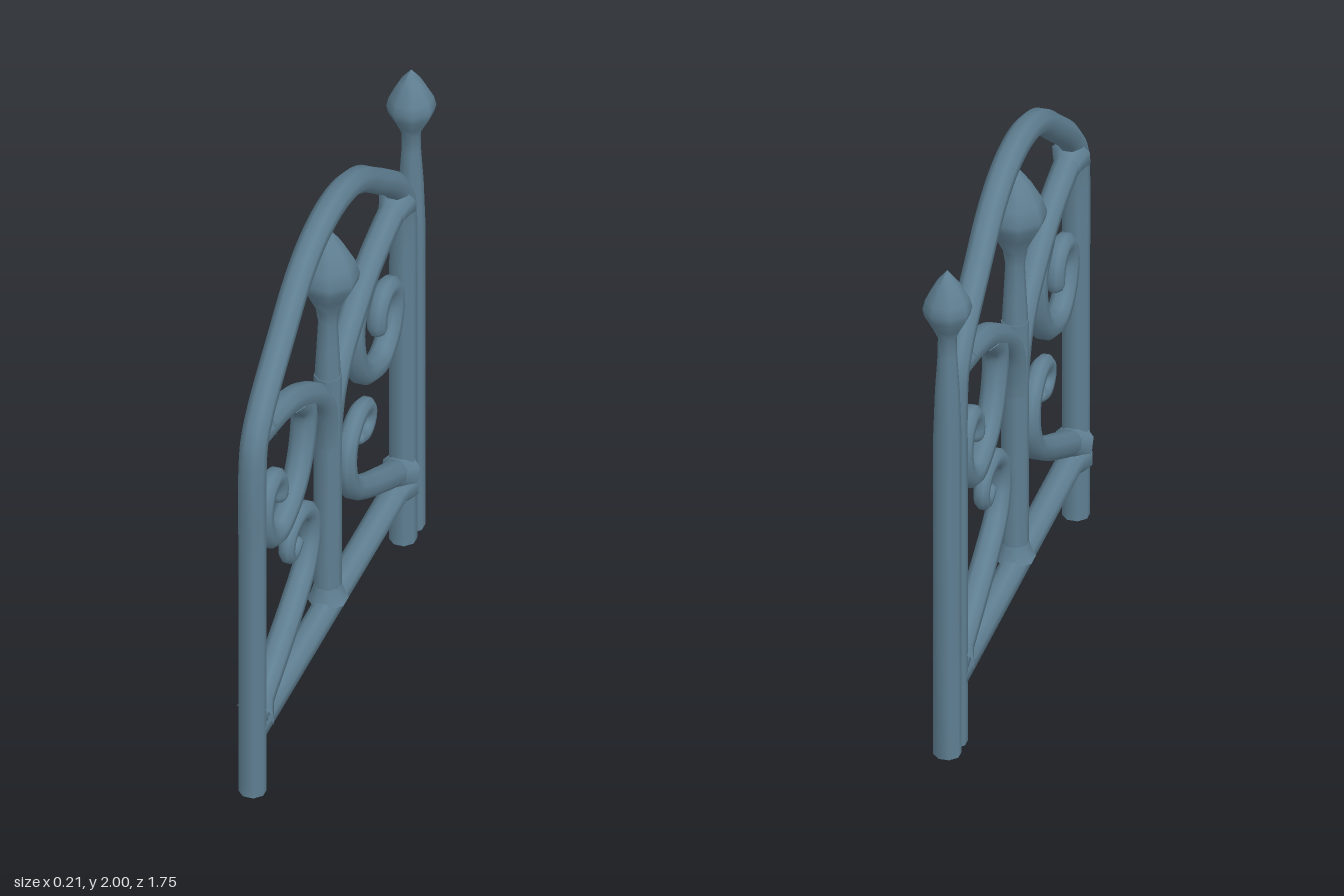
import * as THREE from 'three';
import { toCreasedNormals } from 'three/addons/utils/BufferGeometryUtils.js';

const SIDES = 8;
const MID = 0.06; // z of the gate's centre line
const R = 0.049;
const iron = new THREE.MeshStandardMaterial({ color: 0x5f7f92, roughness: 0.7 });

// Sweeps an octagonal bar along [d, y] points, d being the distance from the
// centre line; the radius tapers from r0 to r1, and ends can be rounded.
function bar(points, { side = 1, r0 = R, r1 = r0, steps = 40, roundEnd = false } = {}) {
  const curve = new THREE.CatmullRomCurve3(
    points.map(([d, y]) => new THREE.Vector3(0, y, MID + side * d)));
  const rows = [];
  const ts = curve.getSpacedPoints(steps);
  ts.forEach((p, i) => rows.push({
    p, t: curve.getTangentAt(i / steps), r: THREE.MathUtils.lerp(r0, r1, (i / steps) ** 2),
  }));
  const first = rows[0], last = rows[rows.length - 1];
  if (roundEnd) {
    for (const a of [0.5, 1, 1.3]) {
      rows.push({
        p: last.p.clone().addScaledVector(last.t, Math.sin(a) * r1 * 0.8),
        t: last.t, r: r1 * Math.cos(a),
      });
    }
  }
  rows.unshift({ ...first, r: 0 });
  rows.push({ ...rows[rows.length - 1], r: 0 });

  const pos = [], index = [];
  rows.forEach(({ p, t, r }, i) => {
    for (let j = 0; j < SIDES; j++) {
      const a = ((j + 0.5) / SIDES) * Math.PI * 2;
      const n = Math.sin(a) * r;
      pos.push(Math.cos(a) * r, p.y + t.z * n, p.z - t.y * n);
      if (i === rows.length - 1) continue;
      const k = (j + 1) % SIDES, b = i * SIDES, c = b + SIDES;
      index.push(b + j, b + k, c + k, b + j, c + k, c + j);
    }
  });
  const geo = new THREE.BufferGeometry();
  geo.setAttribute('position', new THREE.Float32BufferAttribute(pos, 3));
  geo.setIndex(index);
  return toCreasedNormals(geo, 1);
}

// Octagonal turned shape from [radius, y] points, listed bottom to top
function turned(profile) {
  const geo = new THREE.LatheGeometry(profile.map(([r, y]) => new THREE.Vector2(r, y)), SIDES);
  geo.rotateY(Math.PI / SIDES);
  return toCreasedNormals(geo, 1);
}

export function createModel() {
  const gate = new THREE.Group();
  gate.name = 'gardenGate';
  const add = (name, geo, z = 0, y = 0) => {
    const mesh = new THREE.Mesh(geo, iron);
    mesh.name = name;
    mesh.position.set(0, y, z);
    gate.add(mesh);
    return mesh;
  };

  // Arched outer frame: one bar up, over and down
  const half = [[0.77, 0], [0.77, 0.5], [0.77, 1.0], [0.77, 1.38], [0.75, 1.49],
    [0.68, 1.585], [0.475, 1.75], [0.32, 1.865], [0.17, 1.93]];
  const arch = [...half, [0, 1.953], ...half.map(([d, y]) => [-d, y]).reverse()];
  add('archedFrame', bar(arch, { steps: 120 }));

  // Bottom rail and central upright
  add('bottomRail', bar([[-0.77, 0.257], [0.77, 0.257]], { steps: 2 }));
  add('centreUpright', bar([[0, 0.257], [0, 1.25]], { steps: 2 }));

  // Central spear
  add('centreSpear', turned([[0.05, 1.12], [0.046, 1.25], [0.04, 1.36], [0.034, 1.48],
    [0.042, 1.535], [0.075, 1.6], [0.106, 1.655], [0.112, 1.685], [0.095, 1.74],
    [0.055, 1.81], [0.02, 1.855], [0, 1.878]]), MID);

  // Hinge post with its finial
  add('hingePost', turned([[0, 0], [0.049, 0], [0.049, 0.5], [0.049, 1.3], [0.043, 1.48],
    [0.034, 1.62], [0.033, 1.69], [0.052, 1.73], [0.08, 1.78], [0.087, 1.81],
    [0.078, 1.845], [0.042, 1.91], [0.014, 1.945], [0, 1.962]]), -0.793);

  // Flared collar, widest where a bar meets another
  const collar = [[0.073, 0.03], [0.061, 0.055], [0.053, 0.08], [0.046, 0.105]];
  const addCollar = (name, d, y, dirD, dirY) => {
    const mesh = add(name, turned(collar), MID + d, y);
    mesh.quaternion.setFromUnitVectors(new THREE.Vector3(0, 1, 0),
      new THREE.Vector3(0, dirY, dirD).normalize());
  };
  addCollar('uprightCollar', 0, 0.257, 0, 1);

  // Mirrored ornament
  for (const side of [1, -1]) {
    const label = side > 0 ? 'front' : 'back';

    // Sloping brace from the frame into the upright
    add(label + 'Brace', bar([[0.73, 1.5], [0.555, 1.465], [0.395, 1.415], [0.25, 1.335],
      [0.13, 1.25], [0.05, 1.15], [0.01, 1.03], [0, 0.95]], { side, r0: 0.048 }));

    // Upper scroll hanging from the brace
    add(label + 'UpperScroll', bar([[0.34, 1.38], [0.25, 1.28], [0.26, 1.15], [0.33, 1.03],
      [0.43, 0.965], [0.535, 0.945], [0.63, 1.0], [0.67, 1.1], [0.64, 1.18], [0.57, 1.202],
      [0.52, 1.17], [0.503, 1.115], [0.507, 1.09]],
    { side, r0: 0.047, r1: 0.035, steps: 60, roundEnd: true }));

    // Lower scroll rising from the bottom corner
    add(label + 'LowerScroll', bar([[0.75, 0.305], [0.69, 0.337], [0.53, 0.42], [0.355, 0.515],
      [0.235, 0.6], [0.185, 0.7], [0.2, 0.795], [0.265, 0.85], [0.325, 0.863], [0.395, 0.84],
      [0.42, 0.79], [0.405, 0.75], [0.37, 0.735], [0.33, 0.745], [0.317, 0.752]],
    { side, r0: 0.048, r1: 0.024, steps: 60, roundEnd: true }));

    // Collars at the joints with the frame
    addCollar(label + 'RailCollar', side * 0.77, 0.257, -side, 0);
    addCollar(label + 'BraceCollar', side * 0.74, 1.5, -side, -0.2);
    addCollar(label + 'ScrollCollar', side * 0.77, 0.295, -side, 0.5);
  }
  return gate;
}
